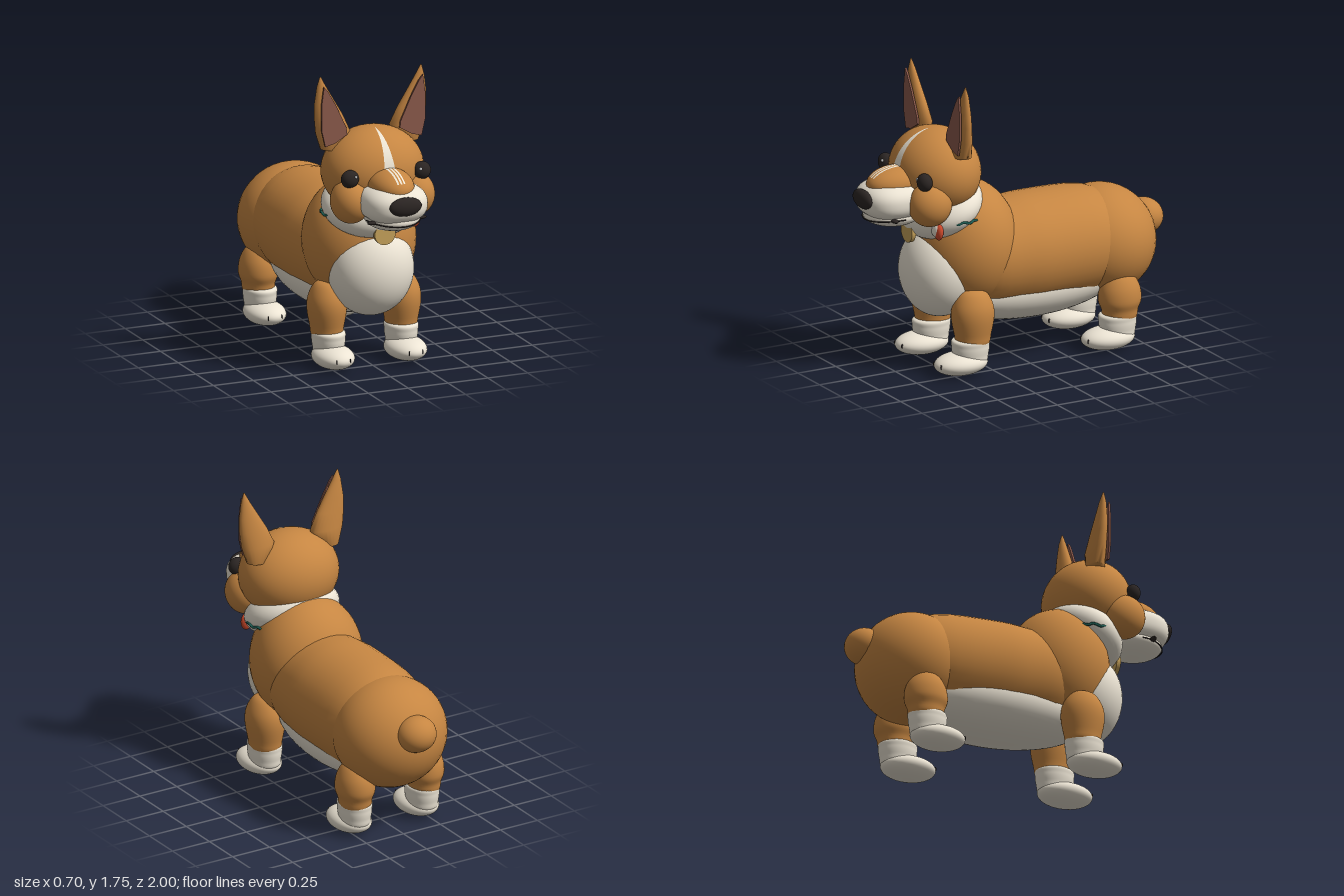
import * as THREE from 'three';
import { mergeVertices } from 'three/addons/utils/BufferGeometryUtils.js';

const mat = (color, side = THREE.FrontSide) => new THREE.MeshStandardMaterial({ color, side });
const FUR = mat(0xc68642), WHITE = mat(0xece4d4), DARK = mat(0x2b2523), PINK = mat(0x8c5a4c);
const GOLD = mat(0xc9a45c), RED = mat(0xd04a2c), TEAL = mat(0x1f5f55), SHINE = mat(0xffffff);
const STRIPE = mat(0xece4d4, THREE.DoubleSide);

export function createModel() {
  const model = new THREE.Group();
  model.name = 'dog';

  const add = (name, geometry, material, pos = [0, 0, 0], rotX = 0) => {
    const mesh = new THREE.Mesh(geometry, material);
    mesh.name = name;
    mesh.position.set(...pos);
    mesh.rotation.x = rotX;
    model.add(mesh);
    return mesh;
  };

  // Ellipsoid; power above 2 makes it boxier
  const blob = (name, material, pos, r, rotX = 0, power = 2) => {
    let g = new THREE.SphereGeometry(1, 40, 28);
    if (power !== 2) {
      const p = g.attributes.position, v = new THREE.Vector3();
      for (let i = 0; i < p.count; i++) {
        v.fromBufferAttribute(p, i);
        const n = (Math.abs(v.x) ** power + Math.abs(v.y) ** power + Math.abs(v.z) ** power) ** (1 / power);
        p.setXYZ(i, v.x / n, v.y / n, v.z / n);
      }
      g.deleteAttribute('uv');
      g.deleteAttribute('normal');
      g = mergeVertices(g, 1e-5);
      g.computeVertexNormals();
    }
    g.scale(...r);
    return add(name, g, material, pos, rotX);
  };

  // Turned solid from [radius, height] points, smoothed by a spline
  const turned = (points, steps = 28) => {
    const curve = new THREE.SplineCurve(points.map(([r, h]) => new THREE.Vector2(r, h)));
    return new THREE.LatheGeometry(curve.getPoints(steps).map(p => new THREE.Vector2(Math.max(p.x, 0), p.y)), 40);
  };

  // Thin strip lying on the front of an ellipsoid, from angle a0 up to a1
  const stripe = (name, c, r, a0, a1, w0, w1, x0 = 0) => {
    const pos = [], index = [], n = 20;
    for (let i = 0; i <= n; i++) {
      const t = i / n, a = a0 + (a1 - a0) * t, w = w0 + (w1 - w0) * t;
      for (const x of [x0 - w, x0, x0 + w]) {
        const k = Math.sqrt(1 - (x / r[0]) ** 2) * 1.01;
        pos.push(c[0] + x, c[1] + r[1] * k * Math.sin(a), c[2] + r[2] * k * Math.cos(a));
      }
      if (i < n) for (const j of [3 * i, 3 * i + 1]) index.push(j, j + 1, j + 4, j, j + 4, j + 3);
    }
    const g = new THREE.BufferGeometry();
    g.setAttribute('position', new THREE.Float32BufferAttribute(pos, 3));
    g.setIndex(index);
    g.computeVertexNormals();
    add(name, g, STRIPE);
  };

  // Body
  add('barrel', turned([[0, -0.72], [0.2, -0.68], [0.312, -0.5], [0.333, -0.15], [0.322, 0.05], [0.29, 0.25], [0.18, 0.4], [0, 0.45]]),
    FUR, [0, 0.62, 0], Math.PI / 2);
  blob('rump', FUR, [0, 0.595, -0.6], [0.338, 0.325, 0.32]);
  blob('shoulders', FUR, [0, 0.72, 0.3], [0.335, 0.38, 0.31]);
  blob('belly', WHITE, [0, 0.42, -0.12], [0.273, 0.205, 0.6]);
  blob('chest', WHITE, [0, 0.58, 0.47], [0.255, 0.275, 0.22]);
  blob('tail', FUR, [0, 0.685, -0.885], [0.12, 0.107, 0.115]);
  blob('ruff', WHITE, [0, 0.965, 0.455], [0.29, 0.155, 0.245], 0.45);

  // Collar with tags
  const collarPath = new THREE.CatmullRomCurve3(Array.from({ length: 48 }, (_, i) => {
    const a = i / 48 * Math.PI * 2;
    return new THREE.Vector3(0.288 * Math.cos(a), 0.932 + 0.006 * Math.sin(a * 16), 0.44 + 0.19 * Math.sin(a));
  }), true);
  add('collar', new THREE.TubeGeometry(collarPath, 144, 0.008, 6, true), TEAL);
  add('collarTag', new THREE.CylinderGeometry(0.065, 0.065, 0.025, 32), GOLD, [0, 0.838, 0.664], Math.PI / 2);
  blob('sideTagRim', RED, [0.222, 0.885, 0.59], [0.036, 0.052, 0.024]);
  blob('sideTagFace', WHITE, [0.205, 0.895, 0.6], [0.038, 0.046, 0.022]);

  // Head
  const headC = [0, 1.185, 0.49], headR = [0.305, 0.255, 0.255];
  const bridgeC = [0, 1.15, 0.74], bridgeR = [0.13, 0.1, 0.19];
  blob('head', FUR, headC, headR);
  blob('muzzle', WHITE, [0, 1.06, 0.775], [0.193, 0.113, 0.2], 0, 2.5);
  blob('jaw', WHITE, [0, 0.97, 0.77], [0.16, 0.07, 0.175]);
  blob('muzzleBridge', FUR, bridgeC, bridgeR);
  blob('nose', DARK, [0, 1.08, 0.965], [0.1, 0.056, 0.035]);
  stripe('foreheadBlaze', headC, headR, 0.2, 1.4, 0.034, 0.002);
  for (const x of [-0.02, 0, 0.02]) stripe('bridgeStripe', bridgeC, bridgeR, 0.5, 1.7, 0.005, 0.007, x);
  const lip = Array.from({ length: 17 }, (_, i) => {
    const a = i / 16 * Math.PI;
    return new THREE.Vector3(0.16 * Math.cos(a), 0.96 + 0.006 * Math.cos(a * 2), 0.77 + 0.176 * Math.sin(a));
  });
  add('mouthLine', new THREE.TubeGeometry(new THREE.CatmullRomCurve3(lip), 40, 0.004, 6), DARK);

  // Ear rows: height, outer x, inner x, half depth, centre z
  const earRows = [[1.32, 0.305, 0.17, 0.055, 0.448], [1.42, 0.338, 0.125, 0.052, 0.452], [1.52, 0.35, 0.172, 0.043, 0.458],
    [1.6, 0.35, 0.22, 0.034, 0.462], [1.7, 0.336, 0.28, 0.02, 0.465], [1.76, 0.32, 0.312, 0.004, 0.467]];
  const earGeometry = (side) => {
    const n = 24, pos = [], index = [];
    for (const [y, xo, xi, d, z] of earRows) for (let i = 0; i < n; i++) {
      const a = i / n * Math.PI * 2;
      pos.push(side * ((xo + xi) / 2 + (xo - xi) / 2 * Math.cos(a)), y, z + side * d * Math.sin(a));
    }
    for (let r = 0; r < earRows.length - 1; r++) for (let i = 0; i < n; i++) {
      const a = r * n + i, b = r * n + (i + 1) % n;
      index.push(a, a + n, b, b, a + n, b + n);
    }
    for (let i = 1; i < n - 1; i++) {
      const top = (earRows.length - 1) * n;
      index.push(0, i, i + 1, top, top + i + 1, top + i);
    }
    const g = new THREE.BufferGeometry();
    g.setAttribute('position', new THREE.Float32BufferAttribute(pos, 3));
    g.setIndex(index);
    g.computeVertexNormals();
    return g;
  };

  // Paired parts
  for (const s of [-1, 1]) {
    const side = s > 0 ? 'left' : 'right';
    blob(side + 'Cheek', FUR, [s * 0.2, 1.05, 0.635], [0.117, 0.13, 0.13]);
    blob(side + 'Eye', DARK, [s * 0.226, 1.197, 0.685], [0.053, 0.053, 0.043]);
    blob(side + 'EyeShine', SHINE, [s * 0.203, 1.215, 0.72], [0.009, 0.009, 0.007]);
    blob(side + 'MouthCorner', DARK, [s * 0.15, 0.968, 0.84], [0.035, 0.012, 0.018]);

    add(side + 'Ear', earGeometry(s), FUR);
    const inner = new THREE.Shape([[0.302, 1.35], [0.24, 1.365], [0.165, 1.41], [0.17, 1.45], [0.235, 1.59], [0.285, 1.68],
      [0.31, 1.71], [0.325, 1.6], [0.325, 1.45]].map(([x, y]) => new THREE.Vector2(s * x, y)));
    add(side + 'InnerEar', new THREE.ExtrudeGeometry(inner, { depth: 0.012, bevelEnabled: false }), PINK, [0, 0, 0.499]);

    // Legs: thigh, sock, paw
    for (const [end, z, top] of [['Front', 0.372, 0.515], ['Hind', -0.598, 0.465]]) {
      const thigh = turned([[0, top], [0.07, top - 0.02], [0.115, top - 0.09], [0.126, top - 0.17], [0.108, 0.24], [0.09, 0.18], [0, 0.17]].reverse());
      thigh.scale(0.9, 1, 1.02);
      add(side + end + 'Leg', thigh, FUR, [s * 0.233, 0, z]);
      const sock = turned([[0, 0.06], [0.085, 0.07], [0.1, 0.12], [0.106, 0.17], [0.098, 0.212], [0, 0.222]]);
      sock.scale(0.9, 1, 1.08);
      add(side + end + 'Sock', sock, WHITE, [s * 0.228, 0, z + 0.012]);
      blob(side + end + 'Paw', WHITE, [s * 0.227, 0.073, z + 0.075], [0.117, 0.068, 0.166]);
      for (const dx of [-0.042, 0.042])
        blob(side + end + 'ToeLine', DARK, [s * 0.227 + dx, 0.08, z + 0.228], [0.003, 0.014, 0.006]);
    }
  }
  return model;
}
